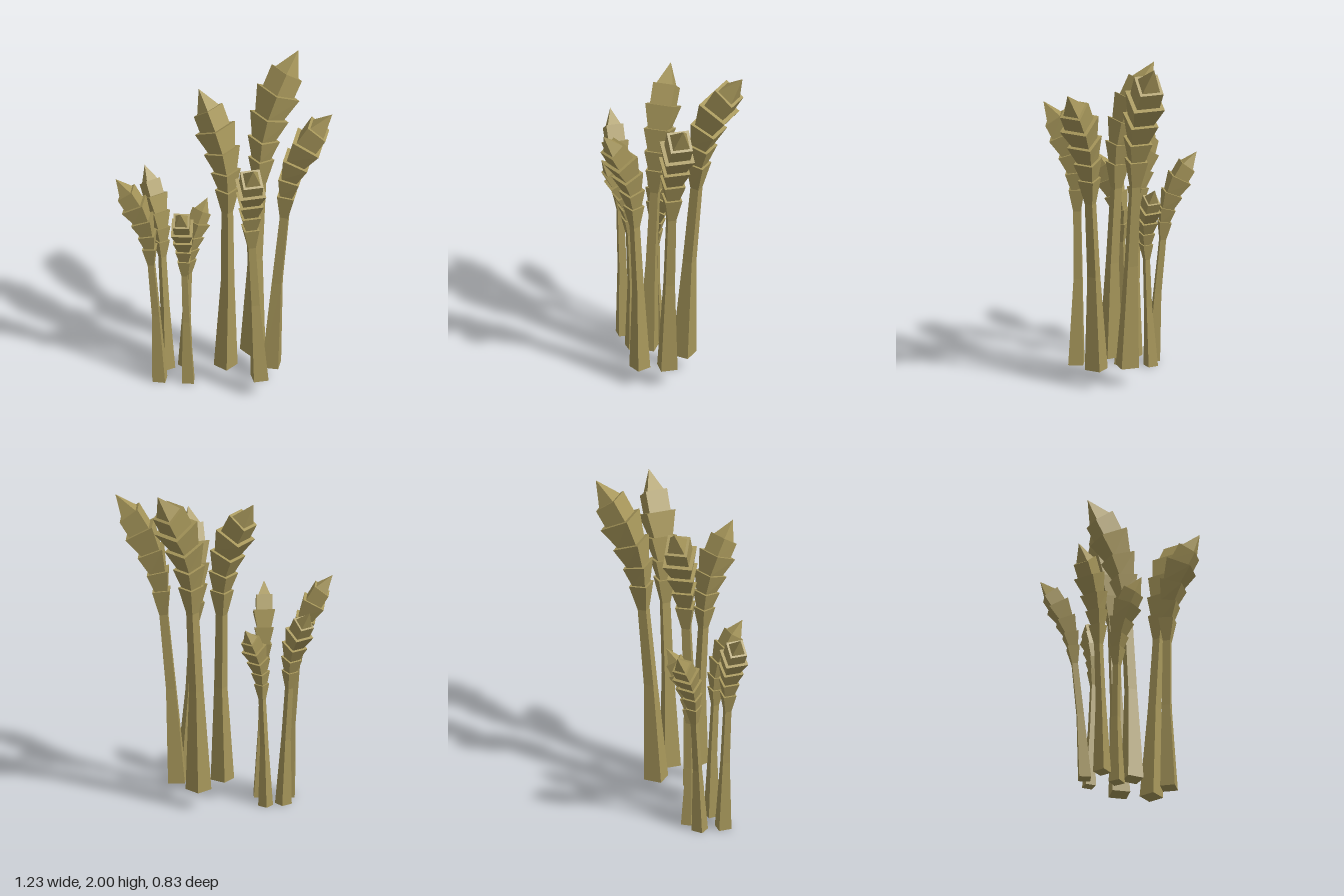
import * as THREE from 'three';

// Shared stalk profile: [forward bend, height, width, extra forward tilt]
const PROFILE = [
  [0, 0, 0.097, 0], [0, 0.57, 0.055, 0], [0.015, 1.02, 0.048, 0],
  [0.02, 1.17, 0.1, 0], [0.033, 1.285, 0.124, 0], [0.066, 1.41, 0.152, 0],
  [0.122, 1.535, 0.172, 0], [0.176, 1.635, 0.13, 0.1], [0.25, 1.745, 0, 0],
];

// Each stalk: base point, tip point, bend direction [x, z]
const TALL = [
  { base: [0.005, 0.11, 0.1], tip: [-0.2, 1.86, -0.065], dir: [-0.9, -0.43] },
  { base: [0.115, 0.11, -0.09], tip: [0.305, 2, -0.4], dir: [0.61, -0.79] },
  { base: [0.258, 0.11, 0.03], tip: [0.612, 1.858, -0.005], dir: [1, -0.08] },
  { base: [0.23, 0.11, 0.186], tip: [0.25, 1.66, 0.4], dir: [0.47, 0.88] },
];
const SHORT = [
  { base: [-0.365, 0, 0.183], tip: [-0.618, 1.35, 0.22], dir: [-1, 0.09] },
  { base: [-0.358, 0, 0.046], tip: [-0.54, 1.24, -0.135], dir: [-0.72, -0.7] },
  { base: [-0.203, 0, 0.157], tip: [-0.2, 1.25, 0.34], dir: [0.2, 0.98] },
  { base: [-0.262, 0, -0.003], tip: [-0.157, 1.1, -0.1], dir: [0.48, -0.88] },
];

// Square ring of four corners around a spine point
function ring(p, t, side, width) {
  const n = new THREE.Vector3().crossVectors(side, t).normalize();
  const h = width / 2;
  return [[1, 1], [-1, 1], [-1, -1], [1, -1]].map(([a, b]) =>
    p.clone().addScaledVector(n, a * h).addScaledVector(side, b * h));
}

// Closed, faceted loft through square rings
function loft(rings) {
  const pts = [];
  for (let r = 0; r < rings.length - 1; r++) {
    const a = rings[r], b = rings[r + 1];
    for (let i = 0; i < 4; i++) {
      const j = (i + 1) % 4;
      pts.push(a[i], a[j], b[j], a[i], b[j], b[i]);
    }
  }
  const lo = rings[0], hi = rings[rings.length - 1];
  pts.push(lo[0], lo[2], lo[1], lo[0], lo[3], lo[2]);
  pts.push(hi[0], hi[1], hi[2], hi[0], hi[2], hi[3]);
  const geometry = new THREE.BufferGeometry().setFromPoints(pts);
  geometry.computeVertexNormals();
  return geometry;
}

function makeStalk({ base, tip, dir }, material, name) {
  const stalk = new THREE.Group();
  stalk.name = name;
  const add = (part, rings) => {
    const mesh = new THREE.Mesh(loft(rings), material);
    mesh.name = part;
    stalk.add(mesh);
  };

  // Bent spine, leaned so that it ends exactly at the tip
  const start = new THREE.Vector3(...base);
  const forward = new THREE.Vector3(dir[0], 0, dir[1]).normalize();
  const up = new THREE.Vector3(0, 1, 0);
  const side = new THREE.Vector3().crossVectors(up, forward);
  const last = PROFILE[PROFILE.length - 1];
  const scale = (tip[1] - base[1]) / last[1];
  const lean = new THREE.Vector3(...tip).sub(start).addScaledVector(forward, -last[0] * scale).setY(0);
  const spine = PROFILE.map(([u, h]) => start.clone()
    .addScaledVector(forward, u * scale)
    .addScaledVector(up, h * scale)
    .addScaledVector(lean, h / last[1]));
  const section = (i, factor = 1) => {
    const t = i === 0 ? up.clone()
      : spine[Math.min(i + 1, spine.length - 1)].clone().sub(spine[i - 1]).normalize();
    t.addScaledVector(forward, PROFILE[i][3]).normalize();
    return ring(spine[i], t, side, PROFILE[i][2] * scale * factor);
  };

  // Tapering stem, flared overlapping head segments, pointed tip
  add('stem', [section(0), section(1), section(2)]);
  for (let i = 2; i < 7; i++) {
    add('headSegment' + (i - 1), [section(i, i === 2 ? 1 : 0.74), section(i + 1)]);
  }
  add('pointedTip', [section(7, 0.76), section(8)]);
  return stalk;
}

export function createModel() {
  const model = new THREE.Group();
  model.name = 'stalkCluster';
  const straw = new THREE.MeshStandardMaterial({ color: 0xa6965a });
  straw.name = 'dryStraw';
  straw.flatShading = true;
  TALL.forEach((s, i) => model.add(makeStalk(s, straw, 'tallStalk' + (i + 1))));
  SHORT.forEach((s, i) => model.add(makeStalk(s, straw, 'shortStalk' + (i + 1))));
  return model;
}
